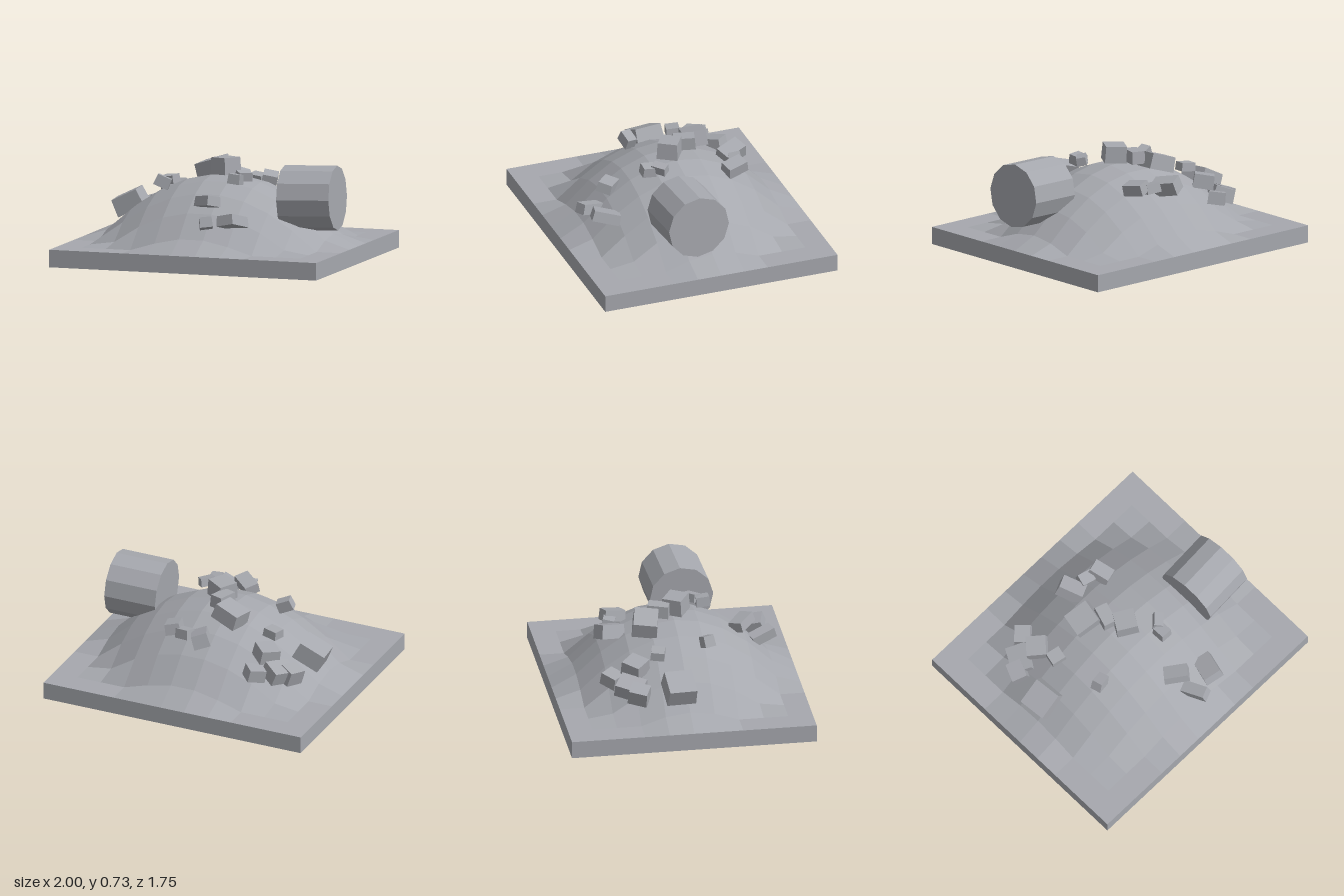
import * as THREE from 'three';

const mat = new THREE.MeshStandardMaterial({ color: 0xa6a8ae });

// Adds a faceted mesh: both triangles of each quad share one averaged normal
function addMesh(group, name, geometry) {
  const flat = geometry.toNonIndexed();
  flat.computeVertexNormals();
  const n = flat.attributes.normal;
  const a = new THREE.Vector3();
  const b = new THREE.Vector3();
  for (let i = 0; i < n.count; i += 6) {
    a.fromBufferAttribute(n, i).add(b.fromBufferAttribute(n, i + 3)).normalize();
    for (let k = i; k < i + 6; k++) n.setXYZ(k, a.x, a.y, a.z);
  }
  const mesh = new THREE.Mesh(flat, mat);
  mesh.name = name;
  group.add(mesh);
  return mesh;
}

// Height of the ground: a paraboloid mound clamped to the slab top
function ground(x, z) {
  const r2 = x ** 2 + (z / 0.875) ** 2;
  return 0.125 + 0.468 * Math.max(0, 1 - r2 / 0.81);
}

// Slab with a gridded top raised to the ground height
function moundGeometry() {
  const geo = new THREE.BoxGeometry(2, 0.125, 1.75, 11, 1, 10);
  geo.translate(0, 0.0625, 0);
  const p = geo.attributes.position;
  for (let i = 0; i < p.count; i++) {
    if (p.getY(i) > 0.1) p.setY(i, ground(p.getX(i), p.getZ(i)));
  }
  return geo;
}

// Block with a slightly narrower top
function rockGeometry(w, h, d) {
  const geo = new THREE.BoxGeometry(w, h, d);
  const p = geo.attributes.position;
  for (let i = 0; i < p.count; i++) {
    if (p.getY(i) > 0) p.setXYZ(i, p.getX(i) * 0.94, p.getY(i), p.getZ(i) * 0.94);
  }
  return geo;
}

// Rocks by area, each: centre x, z, size w, h, d, then yaw, roll
const ROCKS = {
  leftRock: [
    [-0.72, -0.06, 0.21, 0.13, 0.21, 0.1, 0.45],
    [-0.68, -0.34, 0.12, 0.11, 0.14, -0.4, 0.3],
    [-0.61, -0.39, 0.15, 0.1, 0.2, -0.5, 0.35],
    [-0.47, -0.5, 0.12, 0.09, 0.13, -0.8, 0.1],
    [-0.49, -0.34, 0.15, 0.1, 0.15, -0.73, 0.15],
    [-0.465, -0.175, 0.11, 0.06, 0.1, -0.22, 0.1],
    [-0.39, 0.19, 0.11, 0.08, 0.08, 0.25, -0.4],
  ],
  summitRock: [
    [-0.155, -0.215, 0.2, 0.11, 0.18, -0.18, 0.3],
    [-0.04, -0.105, 0.1, 0.09, 0.16, -0.3, 0],
    [0.025, 0.03, 0.16, 0.12, 0.15, -0.55, 0.05],
    [0.175, 0.245, 0.09, 0.07, 0.1, 0, -0.1],
    [0.21, 0.17, 0.07, 0.06, 0.11, -0.8, -0.2],
  ],
  backRock: [
    [-0.03, -0.455, 0.12, 0.1, 0.19, 0.4, -0.3],
    [0.1, -0.44, 0.11, 0.07, 0.09, -0.25, -0.1],
    [0.205, -0.395, 0.11, 0.08, 0.16, 0.26, -0.2],
  ],
  frontRock: [
    [0.055, 0.505, 0.18, 0.07, 0.11, -0.7, 0.15],
    [0.095, 0.655, 0.09, 0.075, 0.19, 0.36, 0.1],
    [0.275, 0.6, 0.14, 0.075, 0.2, -0.3, 0.22],
  ],
};

export function createModel() {
  const group = new THREE.Group();
  group.name = 'rubbleMound';

  addMesh(group, 'moundOnSlab', moundGeometry());

  // Drum resting on the slope, its axis almost along x
  const drum = addMesh(group, 'drum', new THREE.CylinderGeometry(0.23, 0.23, 0.385, 12));
  drum.position.set(0.705, 0.478, 0.14);
  drum.quaternion.setFromUnitVectors(
    new THREE.Vector3(0, 1, 0), new THREE.Vector3(1, 0.03, -0.05).normalize());

  // Rubble lying just above the ground, tipped up towards the outside
  for (const [name, rocks] of Object.entries(ROCKS)) {
    rocks.forEach(([x, z, w, h, d, yaw, roll], i) => {
      const rock = addMesh(group, `${name}${i + 1}`, rockGeometry(w, h, d));
      rock.position.set(x, ground(x, z) + 0.07, z);
      rock.rotation.set(-0.4 * z, yaw, roll, 'YXZ');
    });
  }

  return group;
}
